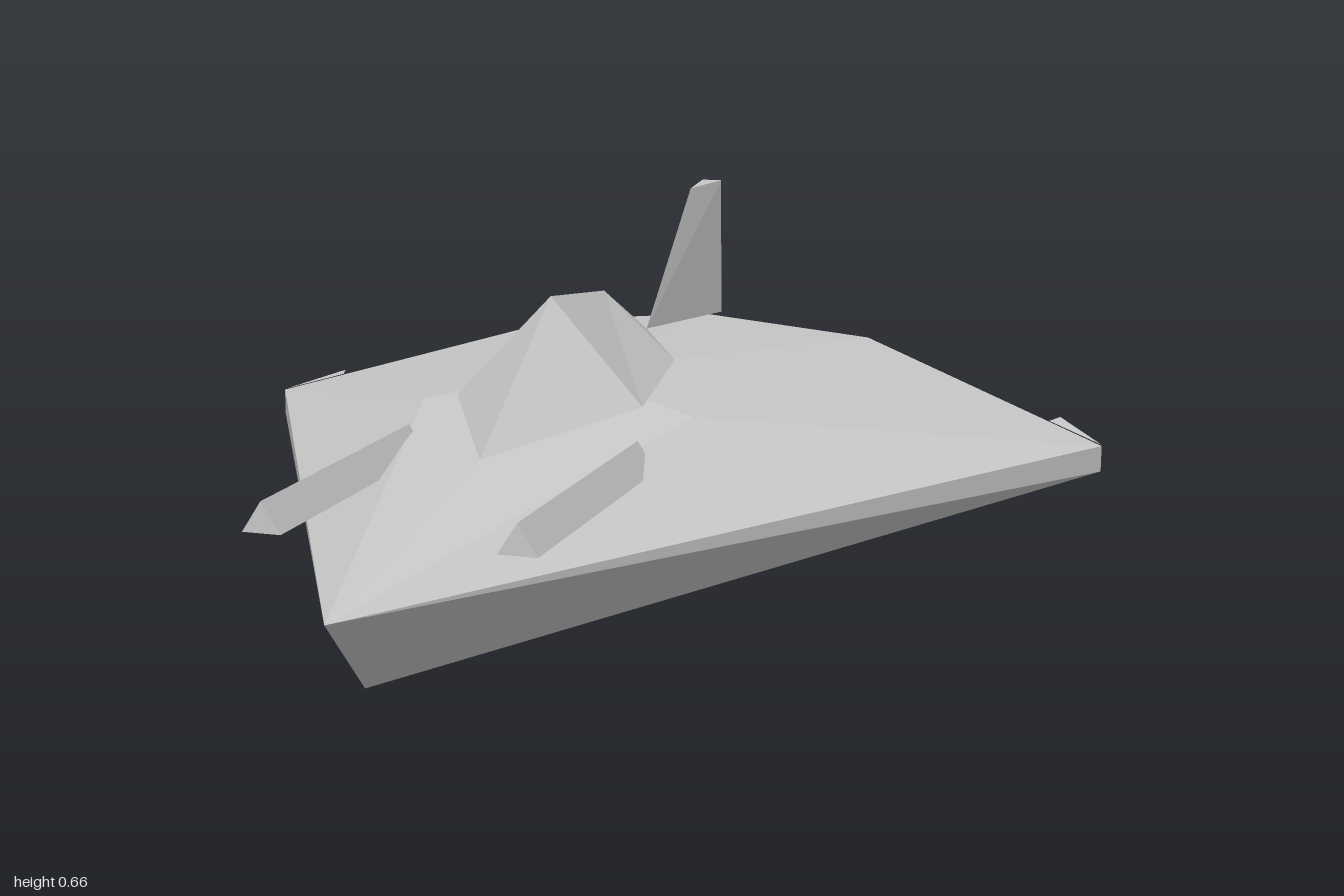
import * as THREE from 'three';

const grey = new THREE.MeshStandardMaterial({ color: 0xc8c8c8, flatShading: true, side: THREE.DoubleSide });
grey.name = 'hull grey';

// Faceted solid: polygons turned to face away from an inner point, optionally mirrored in x
function facets(name, points, faces, inner, mirror = true) {
  const pos = [];
  const c = new THREE.Vector3(...inner);
  for (const sx of mirror ? [1, -1] : [1]) {
    const flip = new THREE.Vector3(sx, 1, 1);
    for (const face of faces) {
      const p = face.split(' ').map((k) => new THREE.Vector3(...points[k]).multiply(flip));
      for (let i = 1; i < p.length - 1; i++) {
        const tri = [p[0], p[i], p[i + 1]];
        const n = tri[1].clone().sub(tri[0]).cross(tri[2].clone().sub(tri[0]));
        if (n.dot(tri[0].clone().sub(c)) < 0) tri.reverse();
        tri.forEach((v) => pos.push(v.x, v.y, v.z));
      }
    }
  }
  const g = new THREE.BufferGeometry();
  g.setAttribute('position', new THREE.Float32BufferAttribute(pos, 3));
  g.computeVertexNormals();
  const mesh = new THREE.Mesh(g, grey);
  mesh.name = name;
  return mesh;
}

export function createModel() {
  const model = new THREE.Group();
  model.name = 'spacecraft';

  // Wedge hull: left half, mirrored
  model.add(facets('hull', {
    nose: [0, 0.25, 1], chin: [0, 0.115, 0.86],
    tip: [0.86, 0.21, -0.72], tipLow: [0.86, 0.16, -0.72],
    corner: [0.34, 0.345, -1], cornerLow: [0.34, 0.07, -1],
    rear: [0, 0.385, -0.95], rearLow: [0, 0.05, -0.95],
    shoulder: [0.25, 0.368, 0], ridge: [0, 0.425, -0.05], keel: [0, 0, -0.04],
  }, [
    'nose shoulder ridge', 'nose tip shoulder', 'shoulder tip corner',
    'shoulder corner ridge', 'ridge corner rear',
    'nose chin tipLow tip', 'tip tipLow cornerLow corner', 'corner cornerLow rearLow rear',
    'chin keel tipLow', 'tipLow keel cornerLow', 'cornerLow keel rearLow',
  ], [0, 0.2, -0.3]));

  // Faceted canopy
  model.add(facets('canopy', {
    front: [0, 0.355, 0.38], side: [0.17, 0.388, 0.04], sideBack: [0.13, 0.41, -0.29],
    back: [0, 0.42, -0.54], peak: [0, 0.57, 0.03], peakBack: [0, 0.535, -0.27],
  }, [
    'front side peak', 'peak side peakBack', 'peakBack side sideBack',
    'peakBack sideBack back', 'front side sideBack back',
  ], [0, 0.44, -0.1]));

  // Tail fin with a wedge section
  model.add(facets('tailFin', {
    base: [0, 0.42, -0.54], baseBack: [0.037, 0.39, -0.955], mid: [0, 0.39, -0.955],
    top: [0, 0.66, -0.84], topBack: [0.02, 0.66, -1], topMid: [0, 0.66, -1],
  }, [
    'base baseBack topBack top', 'top topBack topMid', 'baseBack mid topMid topBack', 'base baseBack mid',
  ], [0, 0.52, -0.87]));

  for (const s of [1, -1]) {
    const side = s > 0 ? 'left' : 'right';

    // Three-sided gun barrel
    const x = 0.205 * s;
    model.add(facets(side + 'Gun', {
      a: [x - 0.032, 0.31, 0.77], b: [x + 0.032, 0.31, 0.77], c: [x, 0.36, 0.77],
      d: [x - 0.032, 0.31, 0.18], e: [x + 0.032, 0.31, 0.18], f: [x, 0.36, 0.18],
    }, ['a b c', 'd e f', 'a b e d', 'b c f e', 'c a d f'], [x, 0.325, 0.5], false));

    // Small spur behind the wing tip
    model.add(facets(side + 'WingSpur', {
      a: [0.86 * s, 0.211, -0.725], b: [0.765 * s, 0.24, -0.825], c: [0.75 * s, 0.24, -0.78],
    }, ['a b c'], [0.8 * s, 0, -0.78], false));

    // Upright exhaust panel just behind the stern
    const panel = new THREE.Mesh(new THREE.PlaneGeometry(0.18, 0.175), grey);
    panel.name = side + 'ExhaustPanel';
    panel.rotation.y = Math.PI;
    panel.position.set(0.19 * s, 0.212, -1);
    model.add(panel);
  }
  return model;
}
